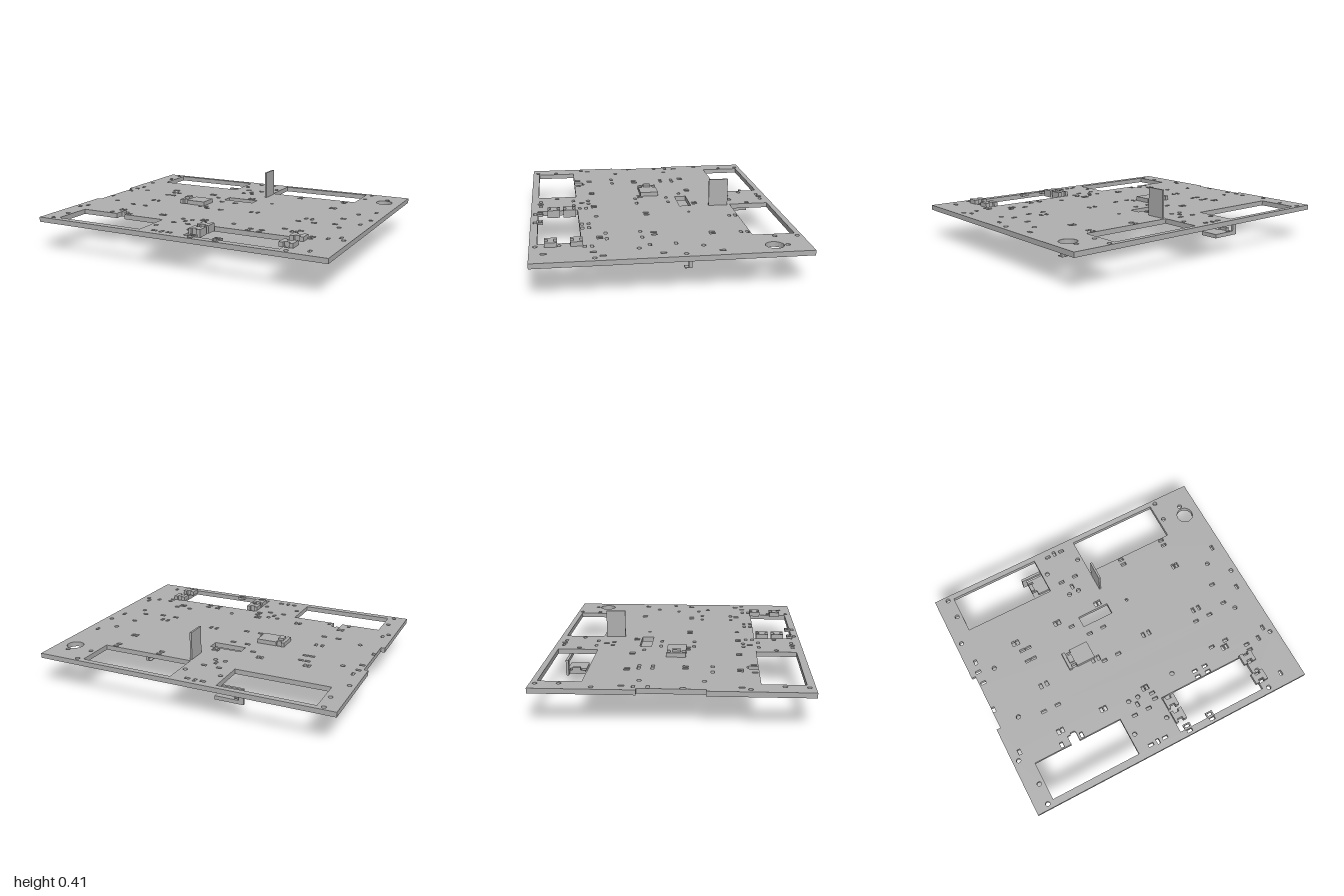
import * as THREE from 'three';

const TOP = 0.232, BOTTOM = 0.2;

// Adds a closed rectangle to a path
function rect(path, x0, x1, z0, z1) {
  path.moveTo(x0, z0);
  path.lineTo(x1, z0);
  path.lineTo(x1, z1);
  path.lineTo(x0, z1);
  path.closePath();
  return path;
}

// Polygon from x, z pairs
const poly = (pts) => new THREE.Shape(pts.map(([x, z]) => new THREE.Vector2(x, z)));

export function createModel() {
  const group = new THREE.Group();
  const gray = new THREE.MeshStandardMaterial({ color: 0xb0b0b0 });
  gray.name = 'gray';

  const add = (name, geometry) => {
    const mesh = new THREE.Mesh(geometry, gray);
    mesh.name = name;
    group.add(mesh);
    return mesh;
  };
  const box = (name, x0, x1, y0, y1, z0, z1) =>
    add(name, new THREE.BoxGeometry(x1 - x0, y1 - y0, z1 - z0)
      .translate((x0 + x1) / 2, (y0 + y1) / 2, (z0 + z1) / 2));
  // Flat slab: the shape lies in x-z and is extruded downward from yTop
  const slab = (name, shape, y0, yTop) =>
    add(name, new THREE.ExtrudeGeometry(shape, { depth: yTop - y0, bevelEnabled: false, curveSegments: 10 })
      .rotateX(Math.PI / 2).translate(0, yTop, 0));

  // Base plate outline with a shallow recess in its right edge
  const plate = poly([[-1, -0.825], [1, -0.825], [1, 0.825], [-1, 0.825],
    [-1, 0.2], [-0.973, 0.2], [-0.973, -0.2], [-1, -0.2]]);
  const cut = (x0, x1, z0, z1) => plate.holes.push(rect(new THREE.Path(), x0, x1, z0, z1));
  const drill = (x, z, r) => plate.holes.push(new THREE.Path().absarc(x, z, r, 0, Math.PI * 2));

  // Large openings
  cut(-0.872, -0.248, -0.789, -0.527);
  cut(0.063, 0.694, -0.789, -0.527);
  cut(0.063, 0.694, 0.516, 0.778);
  cut(-0.163, 0.057, -0.257, -0.179);
  plate.holes.push(poly([[-0.872, 0.516], [-0.608, 0.516], [-0.608, 0.458], [-0.585, 0.455], [-0.58, 0.445],
    [-0.555, 0.445], [-0.547, 0.455], [-0.547, 0.516], [-0.248, 0.516], [-0.248, 0.778], [-0.872, 0.778]]));
  drill(0.884, -0.612, 0.056);

  // Slots lying along x: row z, then x positions
  const wideRows = [
    [-0.77, [-0.15, -0.045]], [-0.55, [-0.15, -0.045]],
    [-0.51, [0.303, 0.63]], [-0.47, [0.303, 0.63]],
    [-0.22, [-0.943, -0.612, -0.568, -0.237]], [-0.135, [-0.943, -0.612, -0.568]],
    [-0.115, [-0.15, -0.045]], [0.105, [-0.15, -0.045]],
    [-0.04, [0.78]], [0.117, [0.78]], [0.147, [0.543, 0.65]],
    [0.234, [-0.67, -0.568]], [0.362, [0.543, 0.65]],
    [0.457, [0.025, 0.355, 0.432, 0.764]], [0.5, [0.025, 0.355, 0.432, 0.764]],
    [0.538, [-0.15, -0.045]], [0.762, [-0.15, -0.045]], [0.797, [0.122, 0.293]],
    [0.52, [0.718]], [0.573, [0.718]], [0.67, [0.718]], [0.727, [0.718]],
    [-0.05, [-0.35]], [0.043, [-0.35]],
  ];
  for (const [z, xs] of wideRows)
    for (const x of xs) cut(x - 0.018, x + 0.018, z - 0.01, z + 0.01);

  // Slots lying along z
  const pairs = [-0.93, -0.645, -0.617, -0.328, -0.3, -0.013, 0.014, 0.607, 0.634, 0.925];
  const tallRows = [
    [-0.29, pairs], [0.403, pairs],
    [0.067, [-0.96, -0.612, -0.568, -0.219, -0.178, 0.171, 0.214, 0.565, 0.608]],
    [0.055, [0.925]],
    [-0.775, [-0.098]], [-0.487, [-0.098]], [0.48, [-0.098]], [0.763, [-0.098]],
    [0.49, [-0.665, -0.52]], [0.455, [0.86]], [0.74, [0.86]],
  ];
  for (const [z, xs] of tallRows)
    for (const x of xs) cut(x - 0.01, x + 0.01, z - 0.018, z + 0.018);

  // Round screw holes
  const roundRows = [
    [-0.794, [-0.914, 0.736]], [-0.655, [-0.907, 0.03, 0.73]], [-0.69, [0.885]],
    [-0.46, [-0.96]], [-0.441, [-0.141, -0.072]], [-0.195, [-0.836, 0.832]],
    [-0.072, [0.955]], [0.187, [-0.836, 0.832]], [0.452, [-0.96, 0.955]],
    [0.436, [-0.141, -0.072]], [0.65, [-0.907, -0.211, 0.03, 0.73]], [0.789, [-0.914, 0.736]],
  ];
  for (const [z, xs] of roundRows) for (const x of xs) drill(x, z, 0.0145);
  drill(0.193, -0.219, 0.01);

  // Blind holes closed near the underside
  for (const [x, z] of [[-0.211, -0.655], [0.21, 0.4]]) {
    drill(x, z, 0.0145);
    add('holePlug', new THREE.CylinderGeometry(0.0145, 0.0145, 0.015, 20).translate(x, BOTTOM + 0.0075, z));
  }
  slab('basePlate', plate, BOTTOM, TOP);

  // Clip block with a tie notch centred at nx in both z ends
  const clip = (name, x0, x1, z0, z1, y0, y1, nx, depth) => {
    const a = nx - 0.018, b = nx + 0.018;
    slab(name, poly([[x0, z0], [a, z0], [a, z0 + depth], [b, z0 + depth], [b, z0], [x1, z0],
      [x1, z1], [b, z1], [b, z1 - depth], [a, z1 - depth], [a, z1], [x0, z1]]), y0, y1);
  };
  for (const z of [0.53, 0.634]) clip('innerClip', 0.063, 0.143, z, z + 0.082, 0.21, 0.26, 0.1, 0.02);
  for (const z of [0.508, 0.66]) clip('outerClip', 0.667, 0.756, z, z + 0.075, 0.23, 0.26, 0.712, 0.02);

  // Sensor mount on the plate
  clip('sensorMount', -0.39, -0.2, -0.065, 0.06, 0.23, 0.26, -0.35, 0.025);
  box('sensorBump', -0.37, -0.335, 0.26, 0.276, -0.027, 0.025);

  // Sensor mount hanging on a C-shaped bracket below the plate
  box('hangerTop', -0.39, -0.2, 0.177, 0.2, -0.715, -0.698);
  box('hangerUpright', -0.39, -0.358, 0.098, 0.2, -0.715, -0.698);
  clip('hangerBase', -0.358, -0.2, -0.715, -0.593, 0.098, 0.123, -0.338, 0.032);
  box('hangerBackWall', -0.39, -0.2, 0.098, 0.123, -0.715, -0.698);
  box('hangerBump', -0.358, -0.332, 0.123, 0.14, -0.68, -0.628);

  // Small perforated tabs on the front rail
  for (const x of [0.12, 0.29]) {
    const tab = rect(new THREE.Shape(), x - 0.025, x + 0.025, 0.745, 0.785);
    tab.holes.push(rect(new THREE.Path(), x - 0.015, x + 0.015, 0.754, 0.772));
    slab('railTab', tab, 0.222, 0.238);
  }

  // Upright fin and the post beneath the plate with its thin foot fins
  box('uprightFin', 0.062, 0.075, 0.23, 0.415, -0.508, -0.378);
  box('post', 0.595, 0.615, 0, 0.2, -0.172, -0.15);
  box('footFin', 0.575, 0.615, 0, 0.005, -0.172, -0.125);
  box('sideFin', 0.575, 0.6, 0.036, 0.04, -0.172, -0.15);

  return group;
}
